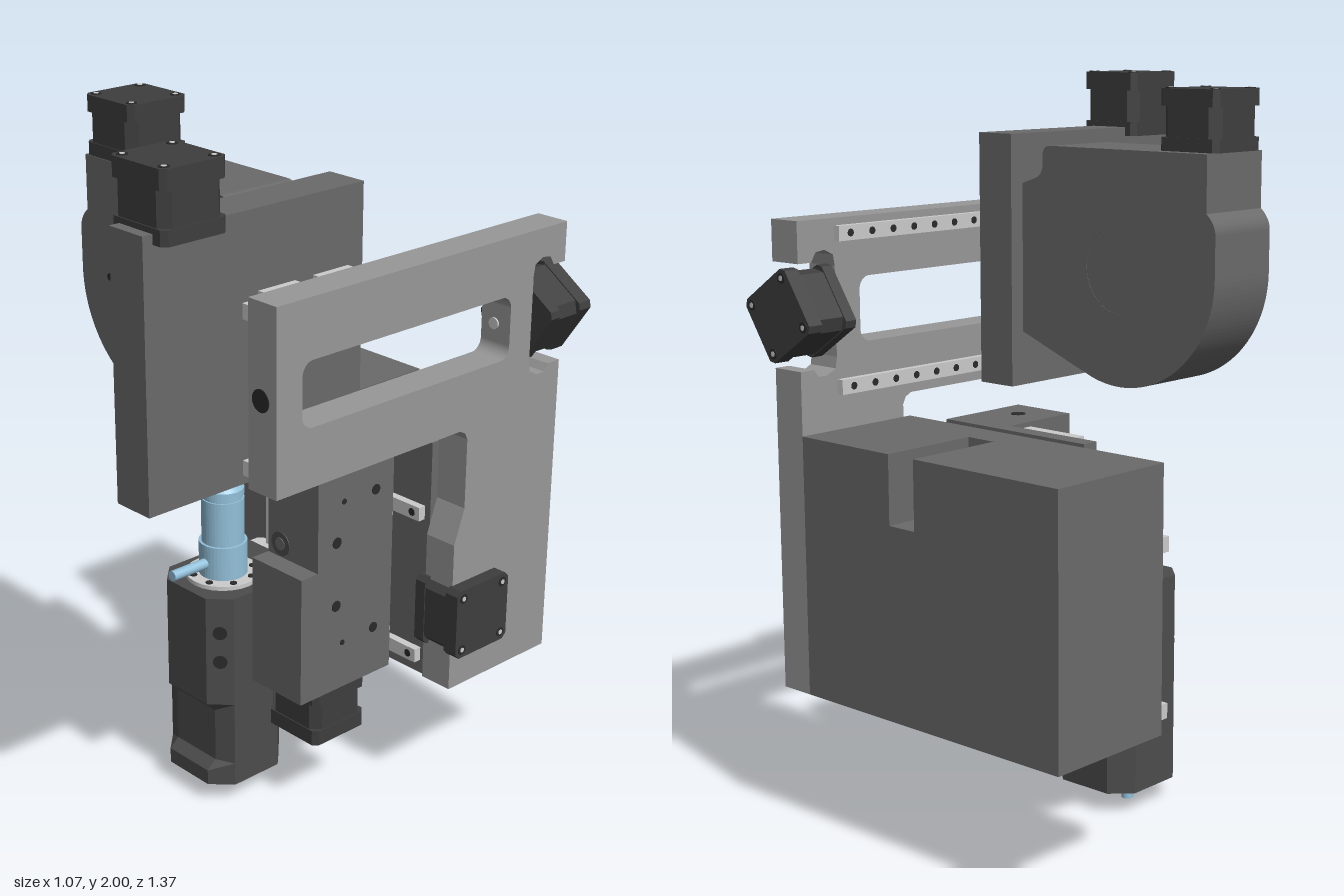
import * as THREE from 'three';

const mat = (color) => new THREE.MeshStandardMaterial({ color });
const BODY = mat(0x6a6a6a), MOTOR = mat(0x3e3e3e), HOLDER = mat(0x4c4c4c);
const PLATE = mat(0x989898), STEEL = mat(0xcccccc), BLUE = mat(0x93c0da), BLACK = mat(0x2a2a2a);

export function createModel() {
  const root = new THREE.Group();
  const add = (name, geo, material, parent = root) => {
    const m = new THREE.Mesh(geo, material);
    m.name = name;
    parent.add(m);
    return m;
  };
  // Box given by its limits on each axis
  const box = (name, [x0, x1], [y0, y1], [z0, z1], material, parent) => {
    const m = add(name, new THREE.BoxGeometry(x1 - x0, y1 - y0, z1 - z0), material, parent);
    m.position.set((x0 + x1) / 2, (y0 + y1) / 2, (z0 + z1) / 2);
    return m;
  };
  // Cylinder centred on a point, lying along an axis
  const rod = (name, axis, r, len, [x, y, z], material, parent) => {
    const g = new THREE.CylinderGeometry(r, r, len, 24);
    if (axis === 'x') g.rotateZ(Math.PI / 2);
    if (axis === 'z') g.rotateX(Math.PI / 2);
    const m = add(name, g, material, parent);
    m.position.set(x, y, z);
    return m;
  };
  const polygon = (pts) => new THREE.Shape(pts.map(([x, y]) => new THREE.Vector2(x, y)));
  const extrude = (shape, depth) =>
    new THREE.ExtrudeGeometry(shape, { depth, bevelEnabled: false, curveSegments: 24 });
  // Corners of a chamfered square
  const octagon = (h, c) => [
    [h, -h + c], [h, h - c], [h - c, h], [-h + c, h],
    [-h, h - c], [-h, -h + c], [-h + c, -h], [h - c, -h]];

  // Stepper motor: two end caps, a more chamfered core and corner screws, along local +y
  const motor = (name, w, h, pos, rot = [0, 0, 0]) => {
    const g = new THREE.Group();
    const h2 = w / 2;
    [[0, 0.22, 0.014, 0], [0.22, 0.72, 0.026, 0.003], [0.72, 1, 0.014, 0]].forEach(([a, b, c, inset]) => {
      const geo = extrude(polygon(octagon(h2 - inset, c)), (b - a) * h).rotateX(-Math.PI / 2);
      add('motorSection', geo, MOTOR, g).position.y = a * h;
    });
    for (const sx of [-1, 1]) for (const sz of [-1, 1]) {
      rod('motorScrew', 'y', 0.014, 0.004, [sx * w * 0.38, h, sz * w * 0.38], BLACK, g);
      rod('motorScrewHead', 'y', 0.007, 0.006, [sx * w * 0.38, h, sz * w * 0.38], STEEL, g);
    }
    g.name = name;
    g.position.set(...pos);
    g.rotation.set(...rot);
    root.add(g);
  };

  // Side plate: profile drawn in (-z, y), extruded along x
  const side = polygon([
    [-0.4, 1.15], [0.255, 1.15], [0.275, 1.14], [0.285, 1.12], [0.285, 0.92], [0.25, 0.82],
    [0.25, 0.38], [0.645, 0.38], [0.645, 1.255], [0.6, 1.255], [0.585, 1.235], [0.555, 1.235],
    [0.525, 1.25], [0.52, 1.28], [0.52, 1.52], [0.525, 1.55], [0.555, 1.565], [0.585, 1.56],
    [0.6, 1.535], [0.645, 1.535], [0.645, 1.645], [-0.4, 1.645]]);
  const slot = new THREE.Path();
  const [u0, u1, v0, v1, r] = [-0.315, 0.435, 1.31, 1.485, 0.035];
  slot.absarc(u0 + r, v0 + r, r, Math.PI, Math.PI * 1.5);
  slot.absarc(u1 - r, v0 + r, r, Math.PI * 1.5, Math.PI * 2);
  slot.absarc(u1 - r, v1 - r, r, 0, Math.PI / 2);
  slot.absarc(u0 + r, v1 - r, r, Math.PI / 2, Math.PI);
  slot.closePath();
  side.holes.push(slot);
  add('sidePlate', extrude(side, 0.1).rotateY(Math.PI / 2), PLATE).position.x = 0.365;
  rod('plateBore', 'z', 0.03, 0.004, [0.41, 1.395, 0.4], BLACK);
  rod('leadScrew', 'z', 0.016, 0.1, [0.41, 1.395, -0.48], STEEL);
  motor('rearMotor', 0.19, 0.16, [0.41, 1.4, -0.52], [-Math.PI / 2, 0.59, 0]);

  // Rails on the inside of the side plate
  for (const y of [1.605, 1.2]) {
    box('upperRail', [0.345, 0.365], [y - 0.02, y + 0.02], [-0.52, 0.4], STEEL);
    for (let i = 0; i < 12; i++) rod('railScrew', 'x', 0.01, 0.003, [0.345, y, -0.48 + i * 0.076], BLACK);
    for (const z of [0.1, 0.28]) box('upperCarriage', [0.334, 0.356], [y - 0.035, y + 0.035], [z - 0.06, z + 0.06], STEEL);
  }

  // Rear housing with a notch in its upper back
  const housing = polygon([
    [-0.535, 0.38], [0.365, 0.38], [0.365, 1.085], [0.04, 1.085],
    [0.04, 0.9], [-0.05, 0.9], [-0.05, 1.085], [-0.535, 1.085]]);
  add('rearHousing', extrude(housing, 0.285), BODY).position.z = -0.645;
  box('housingFront', [-0.535, 0.365], [0.38, 1.085], [-0.36, -0.26], BODY);
  motor('sideMotor', 0.205, 0.155, [0.35, 0.597, -0.33], [0, 0, -Math.PI / 2]);

  // Horizontal rails and their carriages
  for (const y of [0.875, 0.44]) {
    box('lowerRail', [-0.535, 0.345], [y - 0.02, y + 0.02], [-0.26, -0.237], STEEL);
    for (let i = 0; i < 10; i++) rod('railScrew', 'z', 0.011, 0.003, [-0.51 + i * 0.092, y, -0.237], BLACK);
    for (const x of [-0.14, 0.15]) box('lowerCarriage', [x - 0.08, x + 0.08], [y - 0.045, y + 0.045], [-0.255, -0.22], STEEL);
  }

  // Cross slide with its drive block and motor
  box('slidePlate', [-0.245, 0.255], [0.38, 1.085], [-0.228, -0.18], BODY);
  box('driveBlockUpper', [0.06, 0.255], [0.76, 1.085], [-0.228, 0.055], BODY);
  box('driveBlockLower', [0.06, 0.255], [0.38, 0.76], [-0.228, 0.115], BODY);
  rod('blockPin', 'z', 0.035, 0.006, [0.11, 0.8, 0.055], HOLDER);
  rod('blockPinCentre', 'z', 0.018, 0.01, [0.11, 0.8, 0.055], BODY);
  rod('blockHole', 'z', 0.02, 0.004, [0.09, 0.945, 0.055], HOLDER);
  rod('blockTopHole', 'y', 0.02, 0.004, [0.16, 1.085, -0.045], BLACK);
  for (const [z, y, s] of [[-0.015, 0.83, 0.016], [-0.015, 0.64, 0.016], [-0.16, 0.945, 0.015],
    [-0.16, 0.525, 0.015], [-0.04, 0.945, 0.008], [-0.04, 0.52, 0.008]])
    rod('blockSideHole', 'x', s, 0.004, [0.255, y, z], BLACK);
  motor('lowerMotor', 0.195, 0.16, [0.157, 0.385, -0.04], [Math.PI, 0, 0]);

  // Vertical guide behind the spindle
  box('verticalGuide', [-0.175, 0.015], [0.38, 1.085], [-0.18, -0.15], STEEL);
  for (const x of [-0.135, -0.03]) for (const y of [1.06, 0.88, 0.7])
    rod('guideScrew', 'z', 0.016, 0.006, [x, y, -0.15], BLACK);
  const truck = polygon([[-0.22, 0.105], [0.06, 0.105], [0.06, 0.155], [0.045, 0.17], [-0.205, 0.17], [-0.22, 0.155]]);
  add('guideCarriage', extrude(truck, 0.4).rotateX(-Math.PI / 2), STEEL).position.y = 0.235;
  box('holderBack', [-0.22, 0.055], [0.225, 0.65], [-0.108, 0.03], HOLDER);

  // Spindle holder: chamfered column with a shallow front pocket, lofted through levels
  const [cx, cz] = [-0.084, 0.095];
  const rings = [[0.06, 0], [0.105, 0], [0.13, 0.03], [0.29, 0.03], [0.32, 0], [0.65, 0]].map(([y, pocket]) =>
    octagon(0.137, 0.055).map(([x, d]) => [cx + x, y, cz - d - (d < -0.13 ? pocket : 0)]));
  const tris = [];
  for (let i = 0; i < 8; i++) {
    const n = (i + 1) % 8;
    for (let j = 0; j < rings.length - 1; j++) {
      const [a, b, c, d] = [rings[j][i], rings[j][n], rings[j + 1][n], rings[j + 1][i]];
      tris.push(...a, ...b, ...c, ...a, ...c, ...d);
    }
    const top = rings[rings.length - 1];
    tris.push(cx, 0.65, cz, ...top[i], ...top[n], cx, 0.06, cz, ...rings[0][n], ...rings[0][i]);
  }
  const column = new THREE.BufferGeometry();
  column.setAttribute('position', new THREE.Float32BufferAttribute(tris, 3));
  column.computeVertexNormals();
  add('spindleHolder', column, HOLDER);
  for (const s of [-1, 1]) for (const y of [0.455, 0.545]) {
    const bolt = rod('holderBolt', 'z', 0.02, 0.006, [cx + s * 0.109, y, cz + 0.109], BLACK);
    bolt.rotation.y = s * Math.PI / 4;
  }

  // Flange on top of the holder
  rod('topFlange', 'y', 0.105, 0.012, [cx, 0.656, cz], STEEL);
  for (let i = 0; i < 8; i++) {
    const a = (i + 0.5) * Math.PI / 4;
    rod('flangeScrew', 'y', 0.01, 0.004, [cx + 0.087 * Math.cos(a), 0.663, cz + 0.087 * Math.sin(a)], BLACK);
  }

  // Spindle: turned body, hose fitting and offset cutter
  const profile = [[0, 0.65], [0.068, 0.65], [0.068, 0.76], [0.06, 0.76], [0.06, 0.89], [0.056, 0.89], [0.056, 0.9],
    [0.06, 0.9], [0.06, 0.92], [0.045, 0.937], [0.025, 0.94], [0.025, 0.957], [0.012, 0.957], [0.012, 0.965], [0, 0.965]];
  const body = new THREE.LatheGeometry(profile.map(([x, y]) => new THREE.Vector2(x, y)), 40).toNonIndexed();
  body.computeVertexNormals();
  add('spindleBody', body, BLUE).position.set(cx, 0, cz);
  rod('hoseFitting', 'z', 0.015, 0.14, [cx, 0.705, 0.21], BLUE);
  rod('spindleNose', 'y', 0.07, 0.01, [cx, 0.06, cz], BLUE);
  rod('cutter', 'y', 0.016, 0.07, [-0.123, 0.035, cz], BLUE);

  // Vertical stage of the upper head
  box('verticalStage', [0.215, 0.335], [1.15, 1.845], [-0.01, 0.69], BODY);
  motor('stageMotor', 0.195, 0.18, [0.278, 1.82, 0.563]);

  // Rotary head with a recessed bore
  const head = new THREE.Shape();
  head.absarc(-0.14, 1.5, 0.315, Math.PI, Math.PI * 1.622, false);
  head.lineTo(0.215, 1.3);
  head.lineTo(0.215, 1.71);
  head.lineTo(0.17, 1.725);
  head.quadraticCurveTo(0.14, 1.735, 0.14, 1.765);
  head.lineTo(0.14, 1.785);
  head.quadraticCurveTo(0.14, 1.815, 0.11, 1.815);
  head.lineTo(-0.425, 1.815);
  head.lineTo(-0.425, 1.665);
  head.quadraticCurveTo(-0.455, 1.64, -0.455, 1.61);
  head.closePath();
  const circle = (rad) => new THREE.Path().absarc(-0.14, 1.5, rad, 0, Math.PI * 2, true);
  head.holes.push(circle(0.12));
  add('rotaryHead', extrude(head, 0.23), BODY).position.z = 0.035;
  rod('boreFloor', 'z', 0.121, 0.02, [-0.14, 1.5, 0.046], BODY);
  const face = new THREE.Shape().absarc(-0.14, 1.5, 0.225, 0, Math.PI * 2, false);
  face.holes.push(circle(0.12));
  add('rotaryFace', extrude(face, 0.006), BODY).position.z = 0.264;
  for (let i = 0; i < 16; i++) {
    const a = (i * Math.PI) / 8, rad = i % 4 ? 0.155 : 0.19;
    rod('faceHole', 'z', 0.01, 0.004, [-0.14 + rad * Math.cos(a), 1.5 + rad * Math.sin(a), 0.27], BLACK);
  }
  motor('headMotor', 0.192, 0.16, [-0.33, 1.815, 0.167]);

  return root;
}
